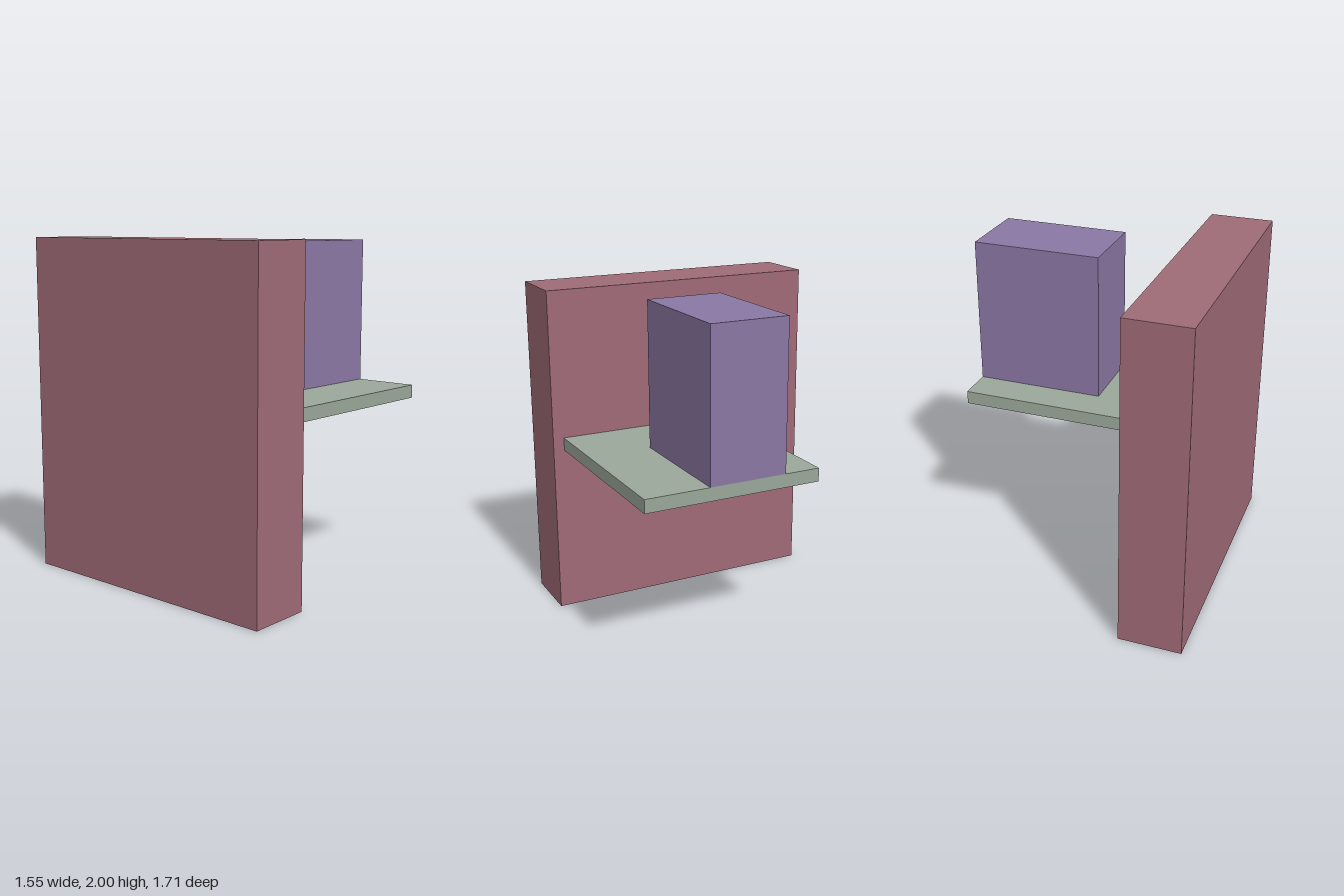
import * as THREE from 'three';

// Box given by its extents along each axis
function block(name, color, [x0, x1], [y0, y1], [z0, z1]) {
  const mesh = new THREE.Mesh(
    new THREE.BoxGeometry(x1 - x0, y1 - y0, z1 - z0),
    new THREE.MeshStandardMaterial({ color })
  );
  mesh.position.set((x0 + x1) / 2, (y0 + y1) / 2, (z0 + z1) / 2);
  mesh.name = name;
  return mesh;
}

export function createModel() {
  const model = new THREE.Group();
  model.name = 'wallShelfWithBox';
  model.add(
    // Upright slab
    block('wall', 0x9e6a76, [-0.777, -0.397], [0, 2], [-0.853, 0.853]),
    // Thin plate standing out from the slab
    block('shelf', 0x9aa799, [-0.397, 0.777], [1.027, 1.106], [-0.275, 0.786]),
    // Block resting at the shelf's outer edge
    block('box', 0x8a77a3, [0.012, 0.777], [1.106, 1.98], [-0.061, 0.404])
  );
  return model;
}
